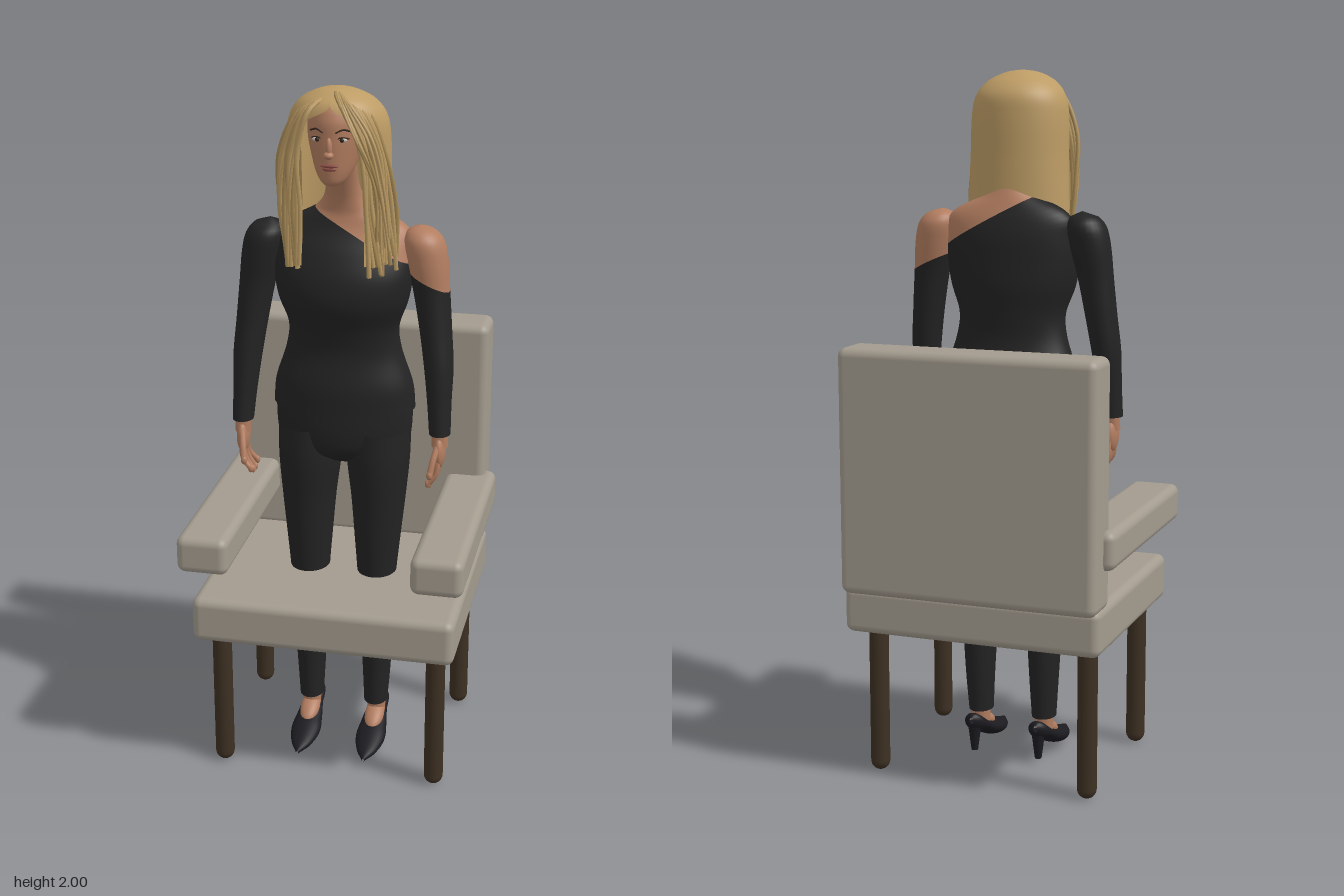
import * as THREE from 'three';
import { RoundedBoxGeometry } from 'three/addons/geometries/RoundedBoxGeometry.js';

const mat = (name, color, side = THREE.FrontSide) => {
  const m = new THREE.MeshStandardMaterial({ color, side });
  m.name = name;
  return m;
};
const TAU = Math.PI * 2;

// Surface from fn(u, v) -> [x, y, z]; wraps in u when closed
function grid(fn, nu, nv, closed = true) {
  const pos = [], idx = [], cols = closed ? nu : nu + 1;
  for (let j = 0; j <= nv; j++)
    for (let i = 0; i < cols; i++) pos.push(...fn(i / nu, j / nv));
  for (let j = 0; j < nv; j++)
    for (let i = 0; i < nu; i++) {
      const a = j * cols + i, b = j * cols + (i + 1) % cols;
      idx.push(a, b, b + cols, a, b + cols, a + cols);
    }
  const g = new THREE.BufferGeometry();
  g.setAttribute('position', new THREE.Float32BufferAttribute(pos, 3));
  g.setIndex(idx);
  g.computeVertexNormals();
  return g;
}

// Smooth interpolation of rows [t, a, b, c, ...]
function smoothRows(rows) {
  const slope = (i, k) => {
    const p = rows[Math.max(i - 1, 0)], n = rows[Math.min(i + 1, rows.length - 1)];
    return (n[k] - p[k]) / (n[0] - p[0]);
  };
  return t => {
    let i = 0;
    while (i < rows.length - 2 && t > rows[i + 1][0]) i++;
    const A = rows[i], B = rows[i + 1], h = B[0] - A[0];
    const s = THREE.MathUtils.clamp((t - A[0]) / h, 0, 1), s2 = s * s, s3 = s2 * s;
    return A.slice(1).map((a, k) => a * (2 * s3 - 3 * s2 + 1) + B[k + 1] * (3 * s2 - 2 * s3)
      + h * slope(i, k + 1) * (s3 - 2 * s2 + s) + h * slope(i + 1, k + 1) * (s3 - s2));
  };
}

// Upright body of elliptical sections, rows [y, centreX, centreZ, radiusX, radiusZ]
function body(rows, side = 1) {
  const f = smoothRows(rows);
  return (y, th) => {
    const [cx, cz, rx, rz] = f(y);
    return [side * cx + Math.max(rx, 0.001) * Math.sin(th), y, cz + Math.max(rz, 0.001) * Math.cos(th)];
  };
}
const patch = (s, lo, hi, nu = 40, nv = 32) => grid((u, v) => {
  const th = u * TAU, a = typeof lo === 'function' ? lo(th) : lo, b = typeof hi === 'function' ? hi(th) : hi;
  return s(a + (b - a) * v, th);
}, nu, nv);

export function createModel() {
  const root = new THREE.Group();
  const fabric = mat('upholstery', 0xa39b8e), wood = mat('dark wood', 0x3d3022);
  const cloth = mat('black cloth', 0x232324, THREE.DoubleSide), skin = mat('skin', 0xb27d60);
  const hair = mat('blonde hair', 0xbd9c65, THREE.DoubleSide), lock = mat('hair strands', 0xa98b56);
  const leather = mat('black shoe leather', 0x1b1b20), lip = mat('lips', 0x8c4a44);
  const white = mat('eye white', 0xc9c0b8), dark = mat('eye dark', 0x35261d);

  const add = (name, geo, m, p = [0, 0, 0], parent = root) => {
    const o = new THREE.Mesh(geo, m);
    o.name = name;
    o.position.set(...p);
    parent.add(o);
    return o;
  };
  const blob = (name, m, p, r, parent = root) => {
    const o = add(name, new THREE.SphereGeometry(1, 20, 14), m, p, parent);
    o.scale.set(...r);
    return o;
  };
  const tube = (name, m, pts, r, parent = root, n = 10, k = 8) => add(name, new THREE.TubeGeometry(
    new THREE.CatmullRomCurve3(pts.map(p => new THREE.Vector3(...p))), n, r, k), m, [0, 0, 0], parent);

  // Armchair
  const chair = new THREE.Group();
  chair.name = 'armchair';
  root.add(chair);
  const pad = (name, w, h, d, p) => add(name, new RoundedBoxGeometry(w, h, d, 3, 0.025), fabric, p, chair);
  pad('seat', 0.755, 0.135, 0.67, [0, 0.503, -0.005]);
  pad('backrest', 0.75, 0.695, 0.135, [0, 0.903, -0.303]);
  for (const s of [-1, 1]) {
    pad('armrest', 0.148, 0.11, 0.67, [s * 0.331, 0.725, 0.035]);
    for (const z of [0.235, -0.24])
      add('chairLeg', new THREE.CapsuleGeometry(0.028, 0.4, 5, 20), wood, [s * 0.315, 0.228, z], chair);
  }

  // Torso and neck, divided by the slanted neckline
  const torso = body([
    [1.08, 0, 0.003, 0.204, 0.117], [1.15, 0, 0.005, 0.197, 0.113], [1.25, 0, 0.008, 0.165, 0.093],
    [1.32, 0, 0.012, 0.157, 0.1], [1.4, 0, 0.02, 0.183, 0.118], [1.47, 0, 0.018, 0.194, 0.115],
    [1.54, 0, 0.005, 0.19, 0.098], [1.59, 0, -0.005, 0.183, 0.075], [1.62, 0, -0.005, 0.15, 0.062],
    [1.65, 0, 0, 0.085, 0.053], [1.7, 0, 0.02, 0.05, 0.047], [1.8, 0, 0.075, 0.045, 0.045]]);
  const neckline = th => {
    let lo = 1.1, hi = 1.7;
    for (let i = 0; i < 24; i++) {
      const y = (lo + hi) / 2;
      if (y < 1.61 - 0.53 * torso(y, th)[0]) lo = y; else hi = y;
    }
    return lo;
  };
  add('top', patch(torso, 1.08, neckline, 64, 48), cloth);
  add('neckAndShoulder', patch(torso, neckline, 1.8, 64, 32), skin);

  // Trousers seat
  add('trouserHips', patch(body([[0.915, 0, 0.01, 0.1, 0.04], [0.95, 0, 0.007, 0.175, 0.092],
    [1.0, 0, 0.003, 0.193, 0.112], [1.1, 0, 0.003, 0.198, 0.112]]), 0.915, 1.1), cloth);

  const armRows = [[1.03, 0.285, 0.06, 0.03, 0.038], [1.12, 0.28, 0.048, 0.034, 0.043],
    [1.22, 0.274, 0.034, 0.041, 0.05], [1.32, 0.262, 0.022, 0.045, 0.05], [1.43, 0.247, 0.013, 0.051, 0.051],
    [1.52, 0.232, 0.007, 0.058, 0.06], [1.57, 0.222, 0.004, 0.056, 0.06], [1.595, 0.216, 0.003, 0.042, 0.045],
    [1.608, 0.212, 0.003, 0.02, 0.022], [1.612, 0.21, 0.003, 0.001, 0.001]];
  const legRows = [[0.13, 0.099, 0.014, 0.035, 0.045], [0.25, 0.1, 0.01, 0.042, 0.054],
    [0.4, 0.1, 0.012, 0.05, 0.064], [0.55, 0.1, 0.018, 0.056, 0.066], [0.68, 0.101, 0.016, 0.067, 0.077],
    [0.8, 0.102, 0.012, 0.078, 0.089], [0.92, 0.1, 0.007, 0.09, 0.105], [1.02, 0.1, 0.003, 0.092, 0.106]];
  const shoe = smoothRows([[-0.066, 0.1, 0.122, 0.006], [-0.05, 0.08, 0.132, 0.027], [0, 0.062, 0.105, 0.031],
    [0.05, 0.034, 0.084, 0.039], [0.1, 0.018, 0.069, 0.044], [0.16, 0.016, 0.05, 0.03], [0.212, 0.024, 0.034, 0.003]]);

  for (const s of [-1, 1]) {
    // Arms: full sleeve on the right, bare shoulder on the left
    const arm = body(armRows, s);
    const cuff = s < 0 ? 1.612 : th => 1.46 - 0.5 * (arm(1.46, th)[0] - 0.24);
    add('sleeve', patch(arm, 1.03, cuff, 28, 40), cloth);
    if (s > 0) add('bareShoulder', patch(arm, cuff, 1.612, 28, 30), skin);

    // Hands
    const hand = new THREE.Group();
    hand.name = 'hand';
    root.add(hand);
    tube('wrist', skin, [[s * 0.284, 1.06, 0.058], [s * 0.286, 0.99, 0.062]], 0.023, hand);
    blob('palm', skin, [s * 0.285, 0.977, 0.062], [0.018, 0.05, 0.036], hand);
    for (let i = 0; i < 4; i++) {
      const z = 0.085 - i * 0.017, e = 0.09 - i * 0.025, y = 0.868 + Math.abs(i - 1.6) * 0.011;
      tube('finger', skin, [[s * 0.284, 0.965, z], [s * 0.28, 0.915, (z + e) / 2], [s * 0.258, y, e]], 0.008, hand);
      blob('fingertip', skin, [s * 0.258, y, e], [0.008, 0.012, 0.008], hand);
    }
    tube('thumb', skin, [[s * 0.283, 1.0, 0.082], [s * 0.275, 0.965, 0.108], [s * 0.268, 0.925, 0.124]], 0.009, hand);
    blob('thumbTip', skin, [s * 0.268, 0.925, 0.124], [0.009, 0.013, 0.009], hand);

    // Legs and feet
    add('trouserLeg', patch(body(legRows, s), 0.13, 1.02, 32, 40), cloth);
    const foot = new THREE.Group();
    foot.name = 'foot';
    foot.position.x = s * 0.1;
    root.add(foot);
    add('ankle', new THREE.CylinderGeometry(0.031, 0.026, 0.12, 20), skin, [0, 0.13, 0.012], foot);
    blob('instep', skin, [0, 0.088, 0.037], [0.029, 0.022, 0.06], foot).rotation.x = 0.45;
    add('shoe', grid((u, v) => {
      const z = -0.066 + 0.278 * v, [b, t, w] = shoe(z), a = u * TAU;
      return [w * Math.cos(a), (b + t) / 2 + (t - b) / 2 * Math.sin(a), z];
    }, 24, 32), leather, [0, 0, 0], foot);
    add('heel', new THREE.CylinderGeometry(0.021, 0.01, 0.085, 14), leather, [0, 0.058, -0.04], foot);
  }

  // Head and face
  const head = body([[1.745, 0, 0.15, 0.004, 0.004], [1.753, 0, 0.145, 0.026, 0.036], [1.78, 0, 0.125, 0.048, 0.067],
    [1.83, 0, 0.105, 0.066, 0.092], [1.88, 0, 0.098, 0.076, 0.1], [1.93, 0, 0.095, 0.074, 0.1],
    [1.97, 0, 0.095, 0.055, 0.07], [1.985, 0, 0.095, 0.004, 0.004]]);
  add('head', patch(head, 1.745, 1.985), skin);
  blob('noseBridge', skin, [0, 1.858, 0.197], [0.009, 0.026, 0.012]);
  blob('noseTip', skin, [0, 1.838, 0.203], [0.014, 0.01, 0.014]);
  blob('upperLip', lip, [0, 1.808, 0.192], [0.024, 0.005, 0.007]);
  blob('lowerLip', lip, [0, 1.799, 0.19], [0.019, 0.006, 0.007]);
  for (const s of [-1, 1]) {
    blob('eye', white, [s * 0.033, 1.877, 0.187], [0.014, 0.006, 0.005]);
    blob('iris', dark, [s * 0.033, 1.877, 0.19], [0.006, 0.006, 0.004]);
    tube('eyelid', dark, [[s * 0.018, 1.879, 0.192], [s * 0.033, 1.884, 0.19], [s * 0.05, 1.879, 0.176]], 0.002);
    tube('eyebrow', dark, [[s * 0.016, 1.896, 0.195], [s * 0.035, 1.904, 0.187], [s * 0.055, 1.897, 0.171]], 0.0025);
  }

  // Hair shell, open at the face and longer toward the front
  const shell = body([[1.5, 0, 0.065, 0.155, 0.115], [1.62, 0, 0.062, 0.148, 0.105], [1.75, 0, 0.07, 0.143, 0.112],
    [1.88, 0, 0.077, 0.139, 0.119], [1.93, 0, 0.08, 0.127, 0.115], [1.965, 0, 0.088, 0.1, 0.094],
    [1.985, 0, 0.093, 0.066, 0.062], [1.995, 0, 0.095, 0.035, 0.035], [1.999, 0, 0.095, 0.001, 0.001]]);
  add('hair', grid((u, v) => {
    const edge = Math.cos(0.6 + u * (TAU - 1.2)), low = 1.575 - 0.055 * edge;
    const y = low + (1.999 - low) * (1 - (1 - v) ** 1.6);
    const gap = 0.6 * (1 - THREE.MathUtils.smoothstep(y, 1.91, 1.965));
    return shell(y, gap + u * (TAU - 2 * gap));
  }, 56, 44, false), hair);

  // Loose locks: strands spread between two guide paths
  const crown = [0, 1.985, 0.09];
  const locks = [
    [[crown, [-0.09, 1.945, 0.14], [-0.143, 1.83, 0.13], [-0.155, 1.68, 0.11], [-0.145, 1.52, 0.1]],
      [crown, [-0.05, 1.955, 0.2], [-0.083, 1.84, 0.2], [-0.088, 1.68, 0.185], [-0.085, 1.53, 0.165]], 12],
    [[crown, [0.09, 1.945, 0.14], [0.143, 1.83, 0.13], [0.16, 1.68, 0.12], [0.165, 1.54, 0.11]],
      [crown, [0.045, 1.955, 0.2], [0.08, 1.84, 0.2], [0.095, 1.68, 0.185], [0.11, 1.52, 0.17]], 12],
    [[crown, [0.015, 1.988, 0.18], [0.07, 1.9, 0.23], [0.12, 1.76, 0.218], [0.135, 1.6, 0.2]],
      [crown, [0.045, 1.98, 0.19], [0.11, 1.89, 0.222], [0.15, 1.76, 0.205], [0.165, 1.6, 0.19]], 6],
  ];
  locks.forEach(([a, b, n], k) => {
    const g = new THREE.Group();
    g.name = 'hairLock';
    root.add(g);
    for (let i = 0; i < n; i++) {
      const t = i / (n - 1);
      const pts = a.map((p, j) => p.map((c, d) => c + (b[j][d] - c) * t
        + (j > 1 ? 0.006 * Math.sin(i * 5.3 + j * 2.1 + d * 1.7 + k) : 0)));
      pts[4][1] += 0.02 * Math.sin(i * 3.7 + k);
      tube('strand', i % 3 ? hair : lock, pts, k < 2 ? 0.0065 : 0.004, g, 24, 6);
    }
  });
  return root;
}
